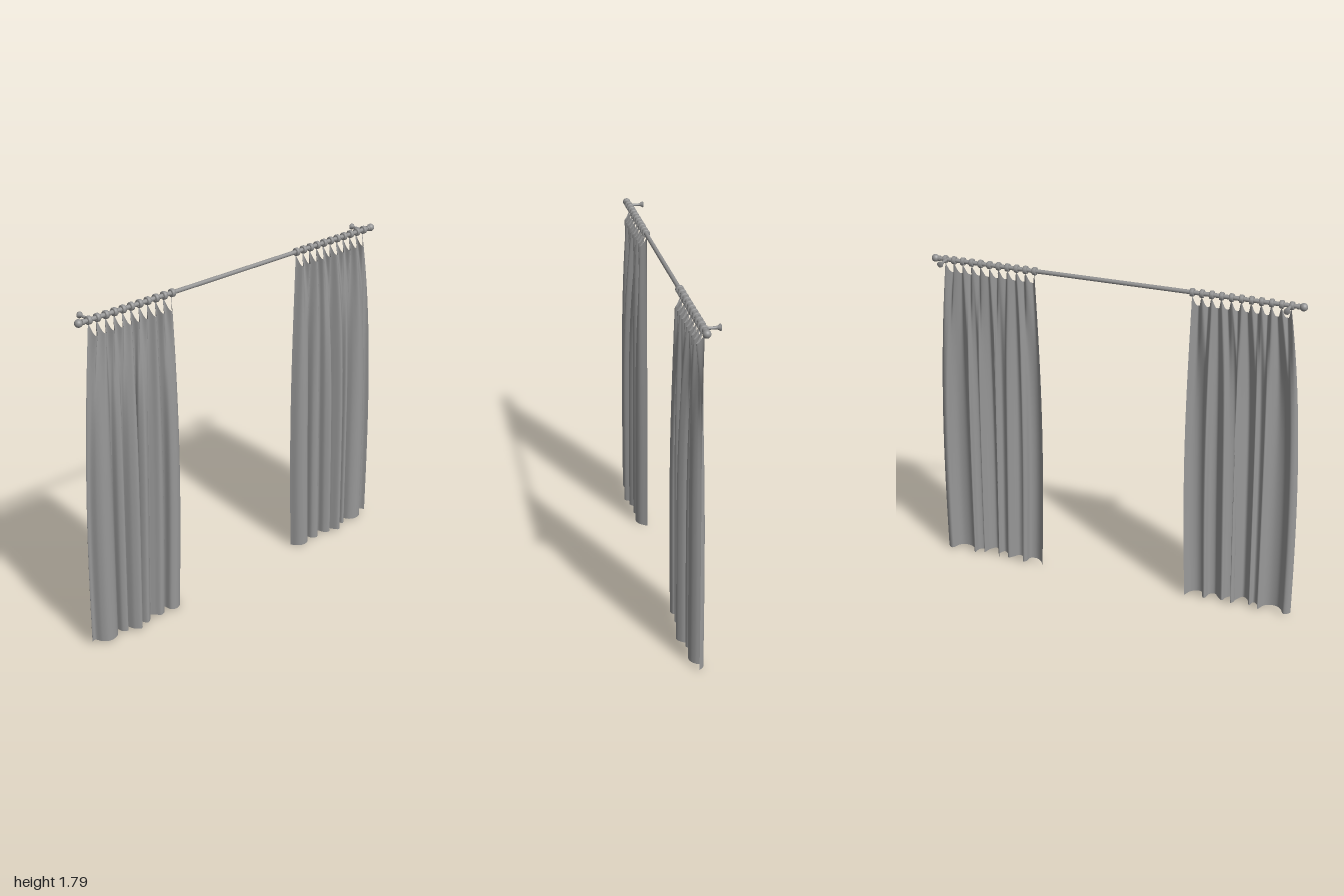
import * as THREE from 'three';

const ROD_Y = 1.765, RINGS = 11, INNER = 0.413, OUTER = 0.907;

// Plan of the folds at the hem, from the inner edge to the outer edge: [x, z]
const HEM = [
  [0.415, 0.0], [0.44, 0.04], [0.475, 0.056], [0.505, 0.045], [0.515, 0.005], [0.53, -0.006],
  [0.545, 0.04], [0.575, 0.052], [0.6, 0.025], [0.625, 0.005], [0.64, 0.04], [0.67, 0.058],
  [0.69, 0.02], [0.675, -0.006], [0.70, 0.045], [0.725, 0.077], [0.755, 0.055], [0.775, 0.01],
  [0.79, 0.045], [0.815, 0.03], [0.825, -0.008], [0.85, 0.035], [0.88, 0.052], [0.92, 0.05],
  [0.945, 0.03], [0.965, -0.005], [0.985, 0.0], [1.0, 0.02],
];

export function createModel() {
  const model = new THREE.Group();
  const metal = new THREE.MeshStandardMaterial({ color: 0x929292, side: THREE.DoubleSide });
  const cloth = new THREE.MeshStandardMaterial({ color: 0x989898, side: THREE.DoubleSide });

  const add = (name, geometry, material, x, y, z) => {
    const mesh = new THREE.Mesh(geometry, material);
    mesh.name = name;
    mesh.position.set(x, y, z);
    model.add(mesh);
  };

  // Pole
  add('rod', new THREE.CylinderGeometry(0.011, 0.011, 1.92, 20).rotateZ(Math.PI / 2), metal, 0, ROD_Y, 0);

  // Lathe profiles: wall bracket (pole to wall) and curtain ring
  const bracketProfile = [[0, 0], [0.008, 0], [0.007, 0.055], [0.009, 0.064], [0.016, 0.074], [0.016, 0.08], [0, 0.08]]
    .map(p => new THREE.Vector2(...p));
  const bracket = new THREE.LatheGeometry(bracketProfile, 16).rotateX(-Math.PI / 2);
  const ringProfile = [[0.012, -0.01], [0.019, -0.01], [0.021, -0.006], [0.021, 0.006], [0.019, 0.01], [0.012, 0.01]]
    .map(p => new THREE.Vector2(...p));
  const ring = new THREE.LatheGeometry(ringProfile, 20).rotateZ(Math.PI / 2);
  const finial = new THREE.SphereGeometry(0.02, 20, 14);
  const collar = new THREE.CylinderGeometry(0.014, 0.014, 0.012, 16).rotateZ(Math.PI / 2);

  for (const side of [1, -1]) {
    const label = side > 0 ? 'left' : 'right';
    add(label + 'Finial', finial, metal, side * 0.963, ROD_Y, 0);
    add(label + 'Collar', collar, metal, side * 0.94, ROD_Y, 0);
    add(label + 'Bracket', bracket, metal, side * 0.9, ROD_Y, 0);

    for (let i = 0; i < RINGS; i++) {
      const x = THREE.MathUtils.lerp(INNER, OUTER, i / (RINGS - 1));
      add(label + 'Ring' + (i + 1), ring, metal, side * x, ROD_Y, 0);
    }
    add(label + 'Curtain', curtainGeometry(side), cloth, 0, 0, 0);
  }
  return model;
}

// Cloth sheet: scalloped pleats at the rings flow into broad folds at the hem
function curtainGeometry(side) {
  const { lerp } = THREE.MathUtils;
  const cols = (RINGS - 1) * 18, rows = 30;
  const curve = new THREE.CatmullRomCurve3(HEM.map(([x, z]) => new THREE.Vector3(x, 0, z)));
  const hem = curve.getSpacedPoints(cols);
  const positions = [], indices = [];

  for (let r = 0; r <= rows; r++) {
    const t = Math.pow(r / rows, 1.5);
    const spread = 1 - Math.pow(1 - t, 2.7);
    const depth = 1 - Math.pow(1 - t, 4.5);
    for (let c = 0; c <= cols; c++) {
      const u = c / cols;
      const phase = Math.PI * (RINGS - 1) * u;
      const topX = lerp(INNER, OUTER, u);
      const topY = 1.688 + 0.057 * Math.abs(Math.cos(phase)) ** 3.5;
      const topZ = 0.034 * Math.sin(phase) ** 2 - 0.005;
      const bulge = 0.02 * Math.sin(Math.PI * t) * (1 - u);
      const hemY = 0.01 * Math.min(1, u * 8);
      positions.push(
        side * (lerp(topX, hem[c].x, spread) - bulge),
        lerp(topY, hemY, t),
        lerp(topZ, hem[c].z, depth),
      );
      if (r < rows && c < cols) {
        const a = r * (cols + 1) + c, b = a + 1, d = a + cols + 1, e = d + 1;
        if (side > 0) indices.push(a, d, b, b, d, e);
        else indices.push(a, b, d, b, e, d);
      }
    }
  }
  const geometry = new THREE.BufferGeometry();
  geometry.setAttribute('position', new THREE.Float32BufferAttribute(positions, 3));
  geometry.setIndex(indices);
  geometry.computeVertexNormals();
  return geometry;
}
